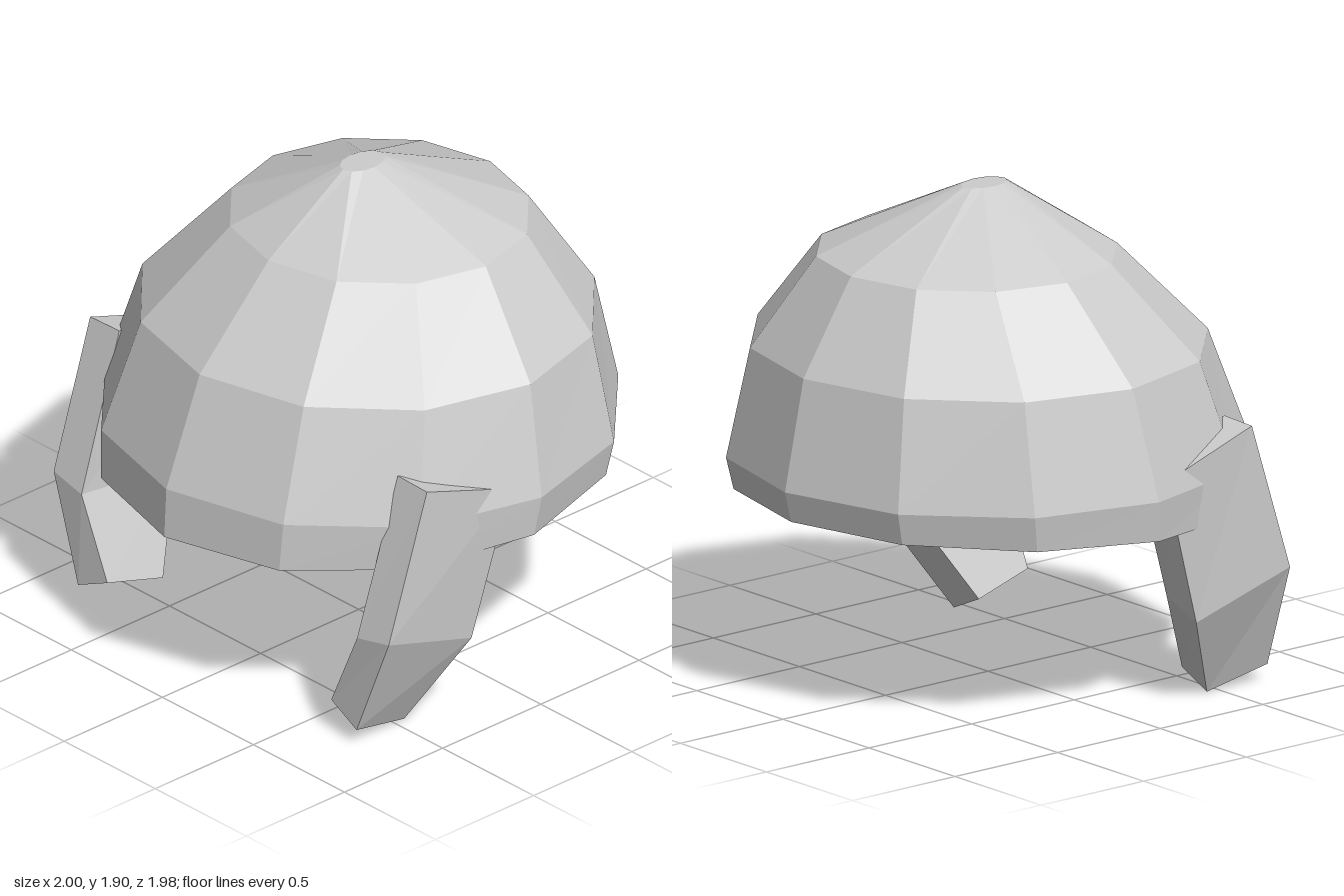
import * as THREE from 'three';

// Closed loft through rings listed bottom to top, each counterclockwise from above
function loft(rings) {
  const pos = [];
  const tri = (...pts) => pts.forEach((p) => pos.push(...p));
  const n = rings[0].length;
  for (let k = 0; k < rings.length - 1; k++) {
    for (let i = 0; i < n; i++) {
      const j = (i + 1) % n;
      const a = rings[k], b = rings[k + 1];
      tri(a[i], a[j], b[j]);
      tri(a[i], b[j], b[i]);
    }
  }
  const bottom = rings[0], top = rings[rings.length - 1];
  for (let i = 1; i < n - 1; i++) {
    tri(bottom[0], bottom[i + 1], bottom[i]);
    tri(top[0], top[i], top[i + 1]);
  }
  const geometry = new THREE.BufferGeometry();
  geometry.setAttribute('position', new THREE.Float32BufferAttribute(pos, 3));
  geometry.computeVertexNormals();
  return geometry;
}

// Twelve-sided oval ring; tilt lowers the front and raises the back
function ovalRing({ y, rx, rz, z, tilt = 0 }) {
  return Array.from({ length: 12 }, (_, i) => {
    const a = (i / 12) * Math.PI * 2;
    return [rx * Math.sin(a), y - tilt * Math.cos(a), z + rz * Math.cos(a)];
  });
}

export function createModel() {
  const model = new THREE.Group();
  model.name = 'helmet';
  const shell = new THREE.MeshStandardMaterial({ color: 0xcccccc, flatShading: true });
  shell.name = 'light grey';

  const add = (name, rings) => {
    const mesh = new THREE.Mesh(loft(rings), shell);
    mesh.name = name;
    model.add(mesh);
  };

  // Dome with a closed underside, its rim tilted slightly to the front
  add('dome', [
    { y: 0.72, rx: 0.98, rz: 0.975, z: 0.015, tilt: 0.04 },
    { y: 0.88, rx: 1.0, rz: 0.985, z: -0.005 },
    { y: 1.305, rx: 0.895, rz: 0.855, z: -0.045 },
    { y: 1.66, rx: 0.585, rz: 0.565, z: -0.105 },
    { y: 1.905, rx: 0.065, rz: 0.1, z: -0.02 },
  ].map(ovalRing));

  // Bent cheek guard: corners run front outer, rear outer, rear inner, front inner
  const guard = [
    [[0.765, 0.065, 0.72], [0.735, 0, 0.45], [0.59, 0.065, 0.45], [0.615, 0.13, 0.71]],
    [[0.92, 0.48, 0.7], [0.9, 0.34, 0.26], [0.74, 0.41, 0.25], [0.757, 0.45, 0.71]],
    [[0.925, 1.065, 0.51], [0.93, 0.925, 0.09], [0.765, 0.925, 0.09], [0.765, 1.07, 0.51]],
  ];
  add('leftCheekGuard', guard);
  // Mirrored, with the corner order reversed to keep faces outward
  add('rightCheekGuard', guard.map((ring) => ring.map(([x, y, z]) => [-x, y, z]).reverse()));

  return model;
}
